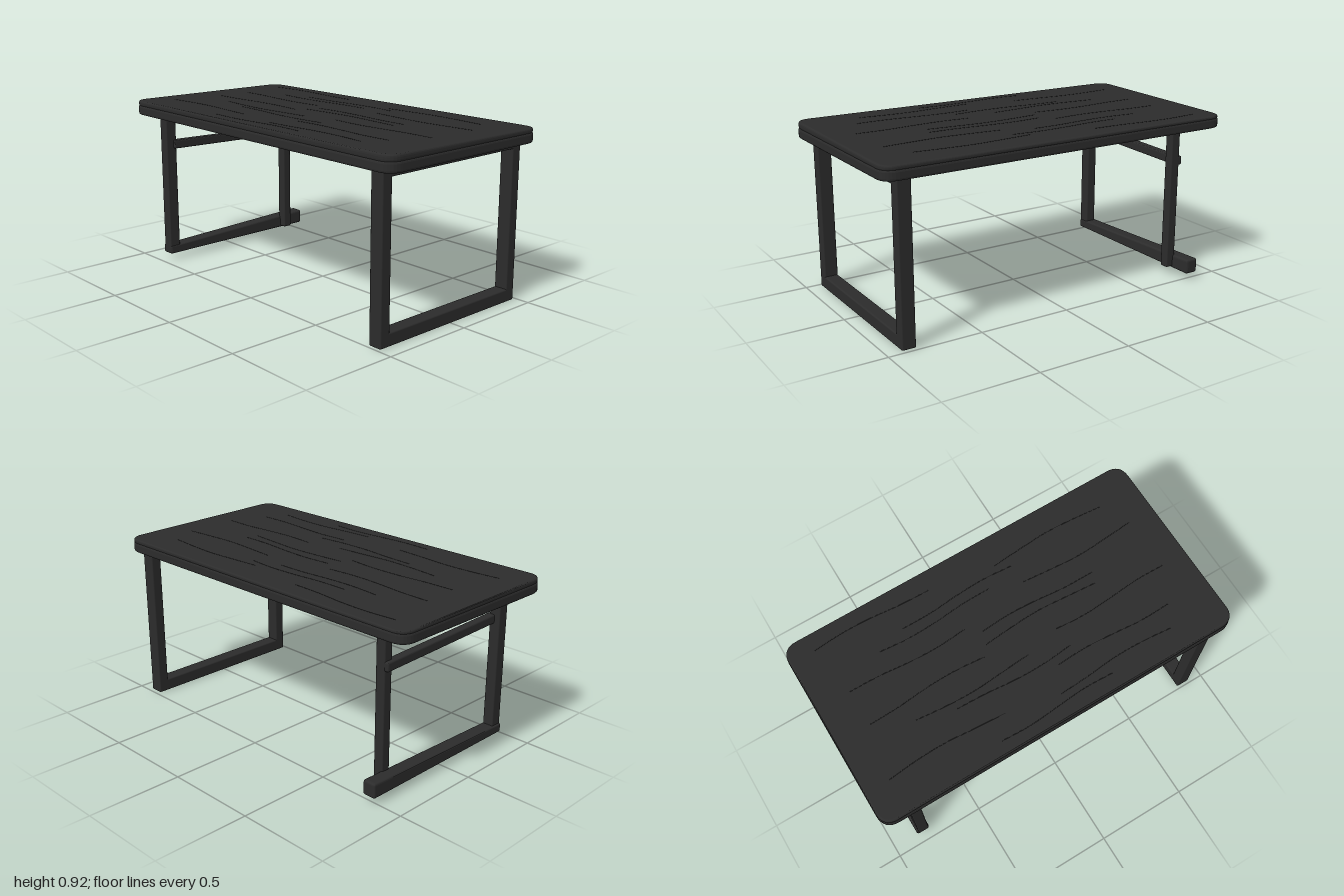
import * as THREE from 'three';
import { RoundedBoxGeometry } from 'three/addons/geometries/RoundedBoxGeometry.js';

const blackWood = new THREE.MeshStandardMaterial({ color: 0x2c2c2c });
blackWood.name = 'black wood';

// Height of the gently sloping table surface
const topHeight = (x, z) => 0.906 - 0.012 * x + 0.004 * z;

export function createModel() {
  const model = new THREE.Group();
  model.name = 'table';

  const add = (name, geometry, parent = model) => {
    const mesh = new THREE.Mesh(geometry, blackWood);
    mesh.name = name;
    parent.add(mesh);
    return mesh;
  };

  // Softly rounded bar given by its limits on each axis
  const bar = (name, [x0, x1], [y0, y1], [z0, z1], parent, r = 0.008) => {
    const geometry = new RoundedBoxGeometry(x1 - x0, y1 - y0, z1 - z0, 2, r);
    geometry.translate((x0 + x1) / 2, (y0 + y1) / 2, (z0 + z1) / 2);
    return add(name, geometry, parent);
  };

  // Move the vertices of a geometry by a rule for y
  const reshape = (geometry, rule) => {
    const p = geometry.attributes.position;
    for (let i = 0; i < p.count; i++) p.setY(i, rule(p.getX(i), p.getY(i), p.getZ(i)));
    geometry.computeVertexNormals();
  };

  // Board with rounded corners and bevelled edges, from y0 to y0 + height
  const board = (y0, height, inset, bevel) => {
    const w = 0.52 - inset - bevel, d = 1 - inset - bevel, r = 0.07;
    const s = new THREE.Shape();
    s.moveTo(-w + r, -d);
    s.lineTo(w - r, -d).quadraticCurveTo(w, -d, w, -d + r);
    s.lineTo(w, d - r).quadraticCurveTo(w, d, w - r, d);
    s.lineTo(-w + r, d).quadraticCurveTo(-w, d, -w, d - r);
    s.lineTo(-w, -d + r).quadraticCurveTo(-w, -d, -w + r, -d);
    const g = new THREE.ExtrudeGeometry(s, {
      depth: height - 2 * bevel, bevelThickness: bevel, bevelSize: bevel,
      bevelSegments: 3, curveSegments: 8,
    });
    g.rotateX(-Math.PI / 2);
    g.translate(-0.005, y0 + bevel, 0);
    return g;
  };

  // Table top: base board and sloping upper board with a fine seam between
  const top = new THREE.Group();
  top.name = 'tableTop';
  model.add(top);
  add('baseBoard', board(0.83, 0.054, 0, 0.012), top);
  const upper = board(0.878, 0.028, 0.002, 0.01);
  reshape(upper, (x, y, z) => y + (topHeight(x, z) - 0.906) * (y - 0.878) / 0.028);
  add('upperBoard', upper, top);

  // Raised wood grain running along the top
  const grain = new THREE.Group();
  grain.name = 'woodGrain';
  top.add(grain);
  for (let i = 0; i < 16; i++) {
    const x = -0.45 + i * 0.058, zMid = 0.55 * Math.sin(i * 2.4), points = [];
    for (let k = -2; k <= 2; k++) {
      const px = x + 0.012 * Math.sin(i + k * 1.3), pz = zMid + k * 0.16;
      points.push(new THREE.Vector3(px, topHeight(px, pz) - 0.0005, pz));
    }
    add('grainLine', new THREE.TubeGeometry(new THREE.CatmullRomCurve3(points), 16, 0.002, 4), grain);
  }

  // Front frame: closed rectangle
  const front = new THREE.Group();
  front.name = 'frontFrame';
  model.add(front);
  const frontZ = [0.845, 0.92];
  bar('rightFrontLeg', [-0.485, -0.424], [0, 0.84], frontZ, front);
  bar('leftFrontLeg', [0.42, 0.48], [0.004, 0.84], frontZ, front);
  bar('frontFootRail', [-0.485, 0.48], [0, 0.068], frontZ, front);
  bar('frontTopRail', [-0.475, 0.47], [0.795, 0.84], frontZ, front);

  // Back frame: set-back left leg, tapered foot rail running past it
  const back = new THREE.Group();
  back.name = 'backFrame';
  model.add(back);
  bar('rightBackLeg', [-0.455, -0.39], [0.037, 0.84], [-0.85, -0.79], back);
  bar('leftBackLeg', [0.355, 0.407], [0.045, 0.84], [-0.8, -0.745], back);
  const rail = bar('backFootRail', [-0.455, 0.525], [0.035, 0.115], [-0.86, -0.786], back, 0.012);
  reshape(rail.geometry, (x, y) => 0.035 + (y - 0.035) * (0.58 + 0.42 * (x + 0.455) / 0.98));

  // Slightly sloping crossbar between the back legs
  const cross = bar('backCrossbar', [-0.41, 0.405], [0.635, 0.683], [-0.82, -0.775], back);
  reshape(cross.geometry, (x, y) => y - 0.027 * x);

  return model;
}
